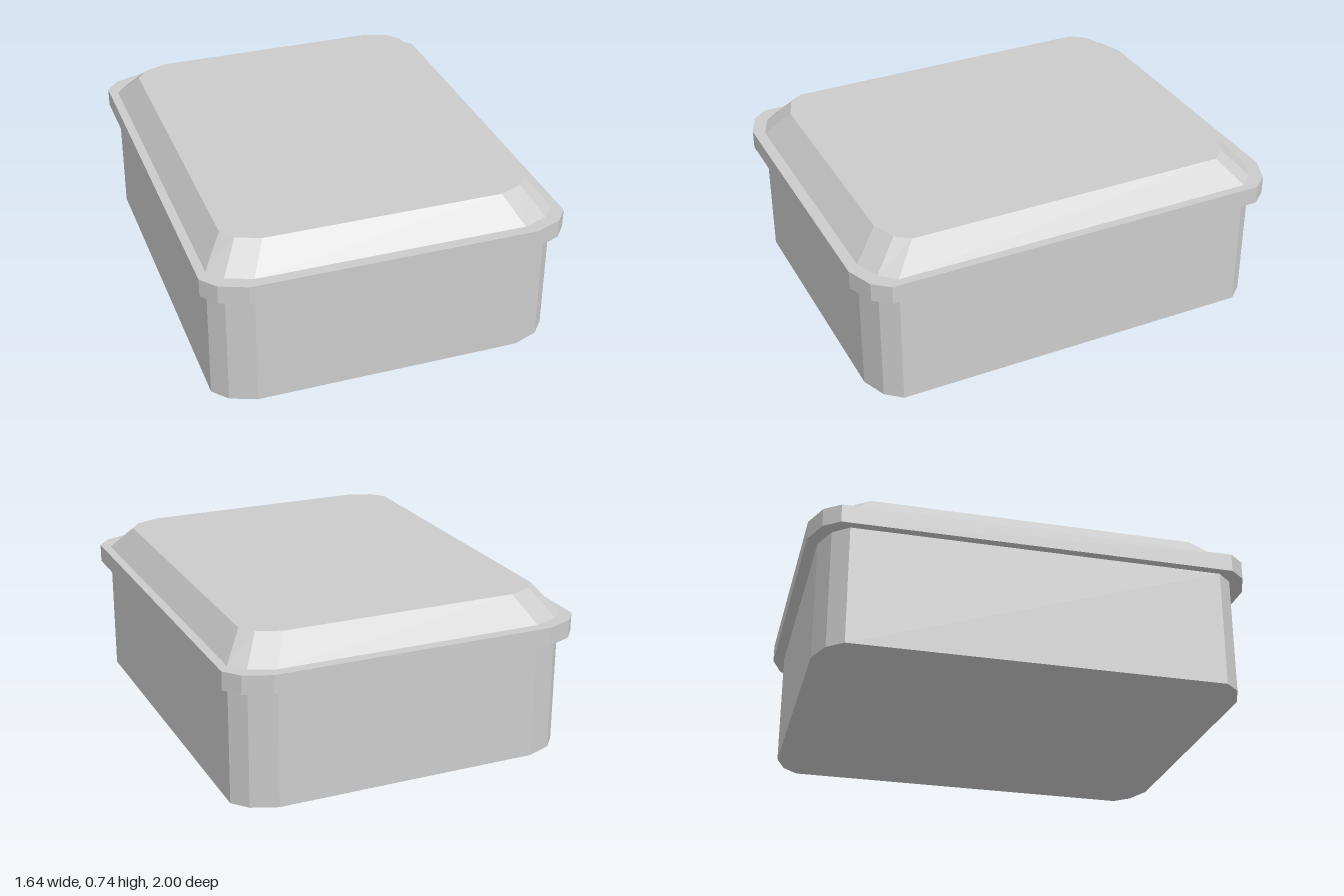
import * as THREE from 'three';

// Full ring of [x, z] points from one corner, mirrored into all four quadrants
function ring(corner) {
  const rev = [...corner].reverse();
  return [
    ...corner,
    ...rev.map(([x, z]) => [-x, z]),
    ...corner.map(([x, z]) => [-x, -z]),
    ...rev.map(([x, z]) => [x, -z]),
  ];
}

// Closed, flat-shaded solid between a lower and an upper ring
function loft(name, y0, lowerCorner, y1, upperCorner) {
  const lower = ring(lowerCorner).map(([x, z]) => [x, y0, z]);
  const upper = ring(upperCorner).map(([x, z]) => [x, y1, z]);
  const pos = [];
  const tri = (...pts) => pts.forEach((p) => pos.push(...p));
  lower.forEach((a, i) => {
    const j = (i + 1) % lower.length;
    const b = lower[j], ta = upper[i], tb = upper[j];
    tri(a, ta, b);
    tri(b, ta, tb);
    tri([0, y1, 0], tb, ta);
    tri([0, y0, 0], a, b);
  });
  const geometry = new THREE.BufferGeometry();
  geometry.setAttribute('position', new THREE.Float32BufferAttribute(pos, 3));
  geometry.computeVertexNormals();
  const material = new THREE.MeshStandardMaterial({ color: 0xcccccc, flatShading: true });
  const mesh = new THREE.Mesh(geometry, material);
  mesh.name = name;
  return mesh;
}

export function createModel() {
  const model = new THREE.Group();
  model.name = 'liddedBox';

  // Corner points run from the side face round to the front face
  const wall = [[0.78, 0.835], [0.72, 0.905], [0.605, 0.95]];
  const rim = [[0.82, 0.88], [0.762, 0.952], [0.64, 1]];
  const top = [[0.69, 0.735], [0.642, 0.798], [0.535, 0.84]];

  model.add(loft('body', 0, wall, 0.54, wall));
  model.add(loft('rim', 0.54, rim, 0.623, rim));
  model.add(loft('lid', 0.623, wall, 0.738, top));
  return model;
}
